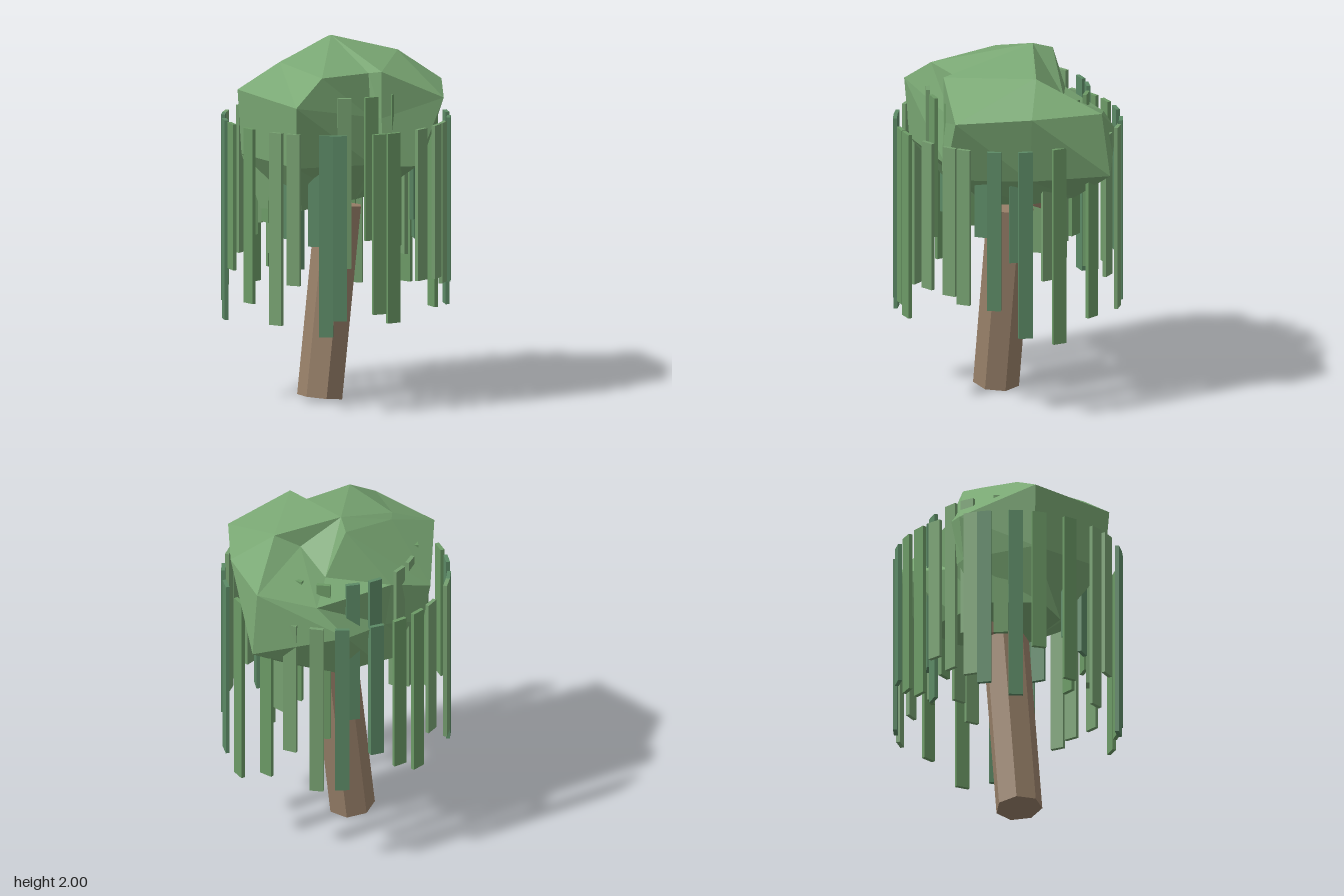
import * as THREE from 'three';

const mat = (color) => new THREE.MeshStandardMaterial({ color, flatShading: true });

// Faceted crown: four rings of ten corners, closed by a point above and below
function canopyGeometry() {
  const rings = [
    [[0.2, 1.83, 0], [0.32, 1.91, 0.08], [0.31, 1.91, 0.09], [-0.08, 1.88, 0.42], [-0.09, 1.86, 0.32],
      [-0.39, 1.86, 0.28], [-0.35, 1.89, -0.13], [-0.31, 1.88, -0.17], [0.06, 1.97, -0.22], [0.19, 1.72, -0.2]],
    [[0.63, 1.75, -0.14], [0.5, 1.75, 0.24], [0.24, 1.72, 0.57], [-0.08, 1.62, 0.42], [-0.1, 1.62, 0.35],
      [-0.6, 1.72, 0.31], [-0.61, 1.76, -0.18], [-0.32, 1.6, -0.49], [-0.1, 1.66, -0.42], [0.37, 1.66, -0.34]],
    [[0.68, 1.4, -0.16], [0.43, 1.37, 0.2], [0.08, 1.35, 0.53], [-0.08, 1.35, 0.43], [-0.12, 1.36, 0.38],
      [-0.58, 1.38, 0.29], [-0.59, 1.4, -0.17], [-0.3, 1.36, -0.45], [-0.08, 1.4, -0.39], [0.28, 1.5, -0.49]],
    [[0.4, 1.21, -0.12], [0.29, 1.18, 0.08], [0.12, 1.15, 0.17], [-0.06, 1.13, 0.17], [-0.1, 1.13, 0.17],
      [-0.4, 1.1, 0.12], [-0.53, 1.1, -0.08], [-0.32, 1.11, -0.37], [-0.06, 1.14, -0.34], [0.22, 1.18, -0.34]],
  ];
  const top = [0.01, 2, -0.12], bottom = [-0.05, 1.14, -0.05], n = rings[0].length, p = [];
  for (let i = 0; i < n; i++) {
    const j = (i + 1) % n;
    p.push(...top, ...rings[0][j], ...rings[0][i]);
    for (let r = 0; r < 3; r++) {
      const a = rings[r], b = rings[r + 1];
      p.push(...a[i], ...a[j], ...b[i], ...a[j], ...b[j], ...b[i]);
    }
    p.push(...rings[3][i], ...rings[3][j], ...bottom);
  }
  const g = new THREE.BufferGeometry();
  g.setAttribute('position', new THREE.Float32BufferAttribute(p, 3));
  g.computeVertexNormals();
  return g;
}

// Seven-sided log from one point to another, one corner towards the back
function log(name, from, to, radius, material) {
  const a = new THREE.Vector3(...from), b = new THREE.Vector3(...to);
  const dir = b.clone().sub(a);
  const geometry = new THREE.CylinderGeometry(radius, radius, dir.length(), 7, 1, false, Math.PI);
  const mesh = new THREE.Mesh(geometry, material);
  mesh.name = name;
  mesh.position.copy(a).add(b).multiplyScalar(0.5);
  mesh.quaternion.setFromUnitVectors(new THREE.Vector3(0, 1, 0), dir.normalize());
  return mesh;
}

// Ring of hanging strips; each entry is [degrees from the front towards +x, height of lower end]
function strands(name, radius, top, list, materials) {
  const group = new THREE.Group();
  group.name = name;
  list.forEach(([deg, low], i) => {
    const a = THREE.MathUtils.degToRad(deg);
    const strip = new THREE.Mesh(new THREE.BoxGeometry(0.078, top - low, 0.022), materials[(i * 2 + (i >> 1)) % 3]);
    strip.name = 'hangingStrand';
    strip.position.set(-0.055 + radius * Math.sin(a), (top + low) / 2, radius * Math.cos(a));
    strip.rotation.y = a;
    group.add(strip);
  });
  return group;
}

export function createModel() {
  const model = new THREE.Group();
  model.name = 'willowTree';
  const bark = mat(0x988069);
  const greens = [mat(0x76a070), mat(0x5c8a66), mat(0x6c9a66)];

  // Leaning trunk with a short limb bending back into the crown
  model.add(log('trunk', [-0.165, 0.018, 0], [-0.03, 1.08, 0], 0.13, bark));
  model.add(log('upperLimb', [-0.03, 1.08, -0.1], [0, 1.38, -0.25], 0.1, bark));

  const canopy = new THREE.Mesh(canopyGeometry(), mat(0x7aa874));
  canopy.name = 'canopy';
  model.add(canopy);

  model.add(strands('outerStrands', 0.62, 1.575, [
    [9, 0.73], [-9.5, 0.515], [-17.5, 0.57], [-38, 0.54], [-45, 0.45], [-62, 0.73], [-72, 0.5], [-90, 0.6],
    [-107, 0.76], [-119, 0.46], [-135, 0.54], [-142, 0.6], [-163, 0.75], [-174, 0.57], [174, 0.64], [161, 0.75],
    [143, 0.54], [130, 0.53], [116, 0.76], [102, 0.56], [81, 0.45], [63, 0.5], [47, 0.66], [31, 0.68], [23, 0.72],
  ], greens));
  model.add(strands('innerStrands', 0.44, 1.75, [
    [-34, 0.8], [-14, 0.95], [8, 0.9], [35, 1.02], [60, 0.88], [84, 0.76], [95, 0.87], [110, 0.98], [131, 0.76],
    [152, 0.88], [169, 0.64], [-168, 0.76], [-153, 0.95], [-128, 0.92], [-100, 1.02], [-75, 0.95], [-55, 0.92],
  ], greens));
  return model;
}
